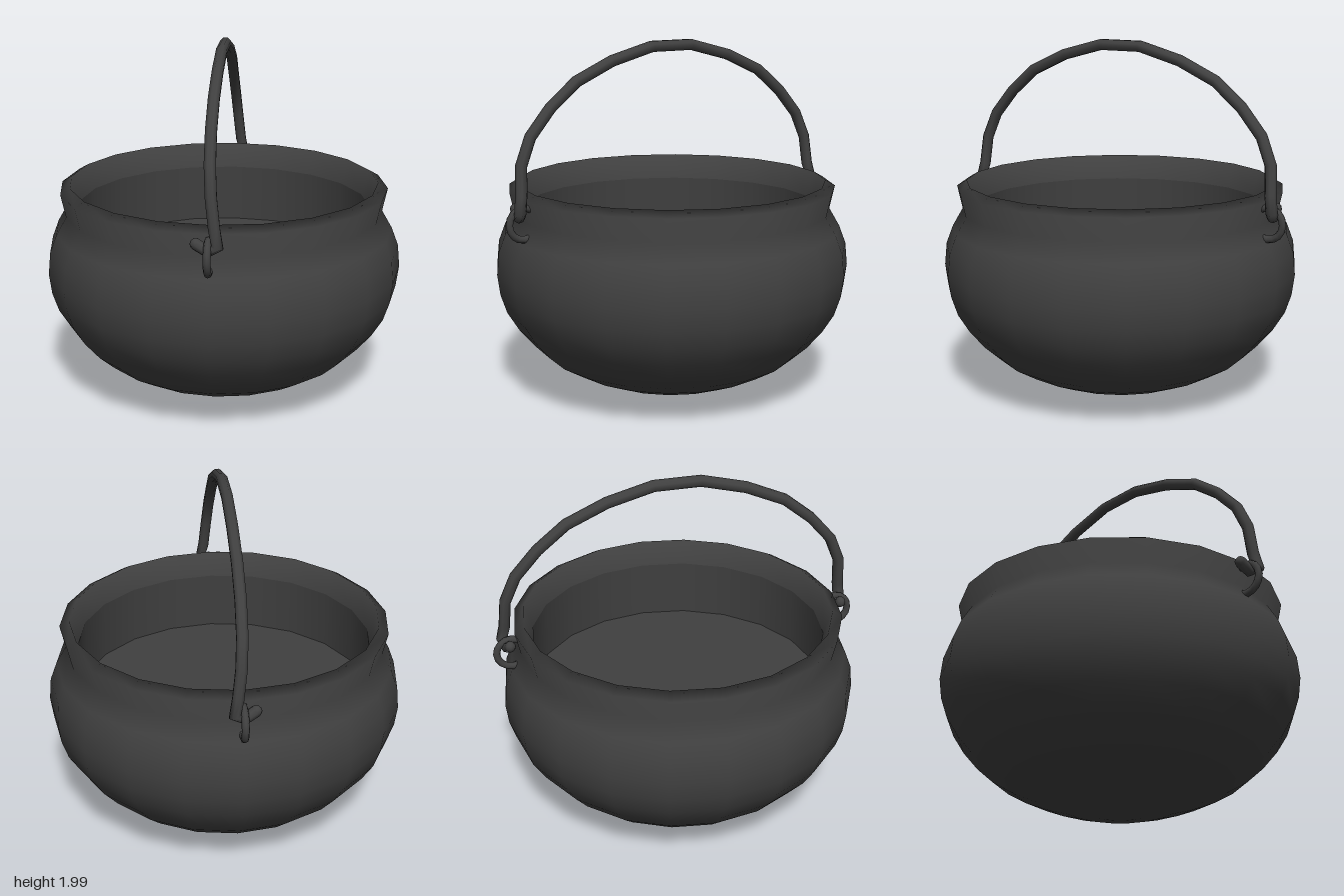
import * as THREE from 'three';

const SIDES = 20;

// Path of straight bars through a list of points, one tube segment per bar
class BarPath extends THREE.Curve {
  constructor(points) {
    super();
    this.points = points;
  }
  getUtoTmapping(u) {
    return u;
  }
  getPoint(t, target = new THREE.Vector3()) {
    const last = this.points.length - 1;
    const i = Math.min(Math.floor(t * last + 1e-9), last - 1);
    return target.lerpVectors(this.points[i], this.points[i + 1], t * last - i);
  }
}

export function createModel() {
  const iron = new THREE.MeshStandardMaterial({ color: 0x404040 });
  iron.name = 'dark iron';
  const model = new THREE.Group();
  model.name = 'cauldron';

  const add = (parent, name, geometry) => {
    const mesh = new THREE.Mesh(geometry, iron);
    mesh.name = name;
    parent.add(mesh);
    return mesh;
  };
  const addTurned = (name, pairs) => {
    const profile = pairs.map(([r, y]) => new THREE.Vector2(r, y));
    add(model, name, new THREE.LatheGeometry(profile, SIDES)).rotation.y = -0.017;
  };

  // Round belly, pinched neck and flared rim that rolls over to the inside
  addTurned('pot', [
    [0, 0.005], [0.16, 0.015], [0.31, 0.045], [0.45, 0.09], [0.59, 0.15], [0.71, 0.22],
    [0.8, 0.3], [0.885, 0.4], [0.95, 0.505], [0.985, 0.61], [1, 0.725], [0.988, 0.85],
    [0.95, 0.95], [0.892, 1.05], [0.92, 1.18], [0.865, 1.212], [0.82, 1.07],
  ]);

  // Inside wall, slightly undercut, and the flat surface that closes it
  addTurned('innerWall', [[0.82, 1.07], [0.83, 0.73]]);
  addTurned('innerFloor', [[0.83, 0.73], [0, 0.73]]);

  // Handle and rings lie in one upright plane turned across the pot
  const bail = new THREE.Group();
  bail.name = 'handleAssembly';
  bail.rotation.y = THREE.MathUtils.degToRad(-55);
  model.add(bail);

  // Half of the handle, from hook tip to crown, then mirrored
  const half = [
    [0.955, 1.14, 0.06], [0.965, 1.105, 0], [0.985, 1.135, -0.05], [0.968, 1.22, -0.032],
    [0.955, 1.38, -0.015], [0.893, 1.525, -0.005], [0.768, 1.668, 0], [0.608, 1.797, 0],
    [0.385, 1.895, 0], [0.13, 1.961, 0],
  ];
  const path = [
    ...half.map(([x, y, z]) => new THREE.Vector3(x, y, z)),
    ...half.map(([x, y, z]) => new THREE.Vector3(-x, y, z)).reverse(),
  ];
  add(bail, 'handle', new THREE.TubeGeometry(new BarPath(path), path.length - 1, 0.032, 8));

  for (const side of [1, -1]) {
    // Rounded end of the hook
    const tip = add(bail, 'hookTip', new THREE.SphereGeometry(0.031, 8, 6));
    tip.position.set(side * half[0][0], half[0][1], half[0][2]);
    // Ring through the neck that carries the hook
    const ring = add(bail, 'ring', new THREE.TorusGeometry(0.085, 0.02, 8, 16));
    ring.position.set(side * 0.94, 1.068, 0);
  }
  return model;
}
